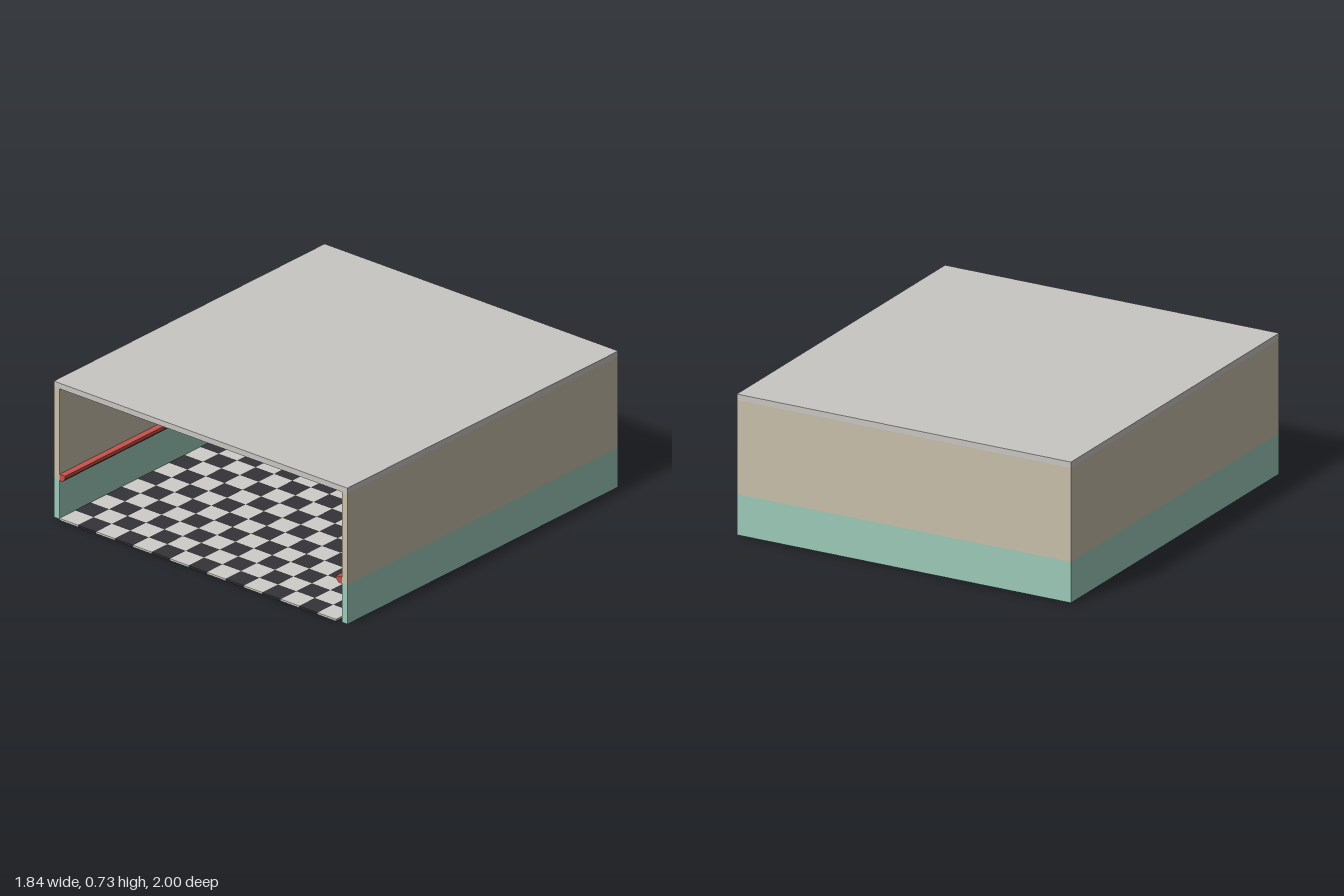
import * as THREE from 'three';
import { mergeGeometries } from 'three/addons/utils/BufferGeometryUtils.js';

const material = (name, color) => {
  const m = new THREE.MeshStandardMaterial({ color });
  m.name = name;
  return m;
};

export function createModel() {
  const cream = material('cream', 0xc9bfaa);
  const mint = material('mint', 0x9ccab9);
  const grey = material('roofGrey', 0xc8c6c2);
  const light = material('tileLight', 0xcfcdc9);
  const dark = material('tileDark', 0x343338);
  const red = material('red', 0xc5524b);

  const model = new THREE.Group();
  model.name = 'room';
  const add = (name, geometry, mat, parent = model) => {
    const mesh = new THREE.Mesh(geometry, mat);
    mesh.name = name;
    parent.add(mesh);
    return mesh;
  };

  const W = 0.92, D = 1, T = 0.035; // half width, half depth, wall thickness
  const inX = W - T, inBack = -D + T;

  // Three walls as one U-shaped plan, raised between two heights
  const plan = new THREE.Shape([
    [-W, -D], [-W, D], [W, D], [W, -D],
    [inX, -D], [inX, -inBack], [-inX, -inBack], [-inX, -D],
  ].map(([x, y]) => new THREE.Vector2(x, y)));
  const walls = (y0, y1) =>
    new THREE.ExtrudeGeometry(plan, { depth: y1 - y0, bevelEnabled: false })
      .rotateX(-Math.PI / 2).translate(0, y0, 0);
  add('lowerWalls', walls(0.006, 0.215), mint);
  add('upperWalls', walls(0.215, 0.696), cream);

  // Roof slab
  add('roof', new THREE.BoxGeometry(2 * W, 0.03, 2 * D).translate(0, 0.711, 0), grey);

  // Checkered floor, laid from the front corner on the -x side
  const floor = new THREE.Group();
  floor.name = 'floor';
  model.add(floor);
  const size = (D - inBack) / 17;
  const tiles = [[], []];
  for (let i = 0; i < 15; i++) {
    for (let j = 0; j < 17; j++) {
      tiles[(i + j) % 2].push(new THREE.BoxGeometry(size, 0.01, size)
        .translate(-inX + (i + 0.5) * size, 0.005, D - (j + 0.5) * size));
    }
  }
  add('lightTiles', mergeGeometries(tiles[0]), light, floor);
  add('darkTiles', mergeGeometries(tiles[1]), dark, floor);

  // Wall rail: moulding with a sloped underside on each wall
  const profile = new THREE.Shape([
    [0, 0.21], [0.02, 0.21], [0.035, 0.226], [0.035, 0.243], [0, 0.243],
  ].map(([x, y]) => new THREE.Vector2(x, y)));
  const rail = (name, length, x, z, turn) => {
    const g = new THREE.ExtrudeGeometry(profile, { depth: length, bevelEnabled: false });
    const mesh = add(name, g, red);
    mesh.position.set(x, 0, z);
    mesh.rotation.y = turn;
  };
  rail('rightRail', D - inBack, -inX, inBack, 0);
  rail('leftRail', D - inBack, inX, D, Math.PI);
  rail('backRail', 2 * inX, inX, inBack, -Math.PI / 2);

  return model;
}
